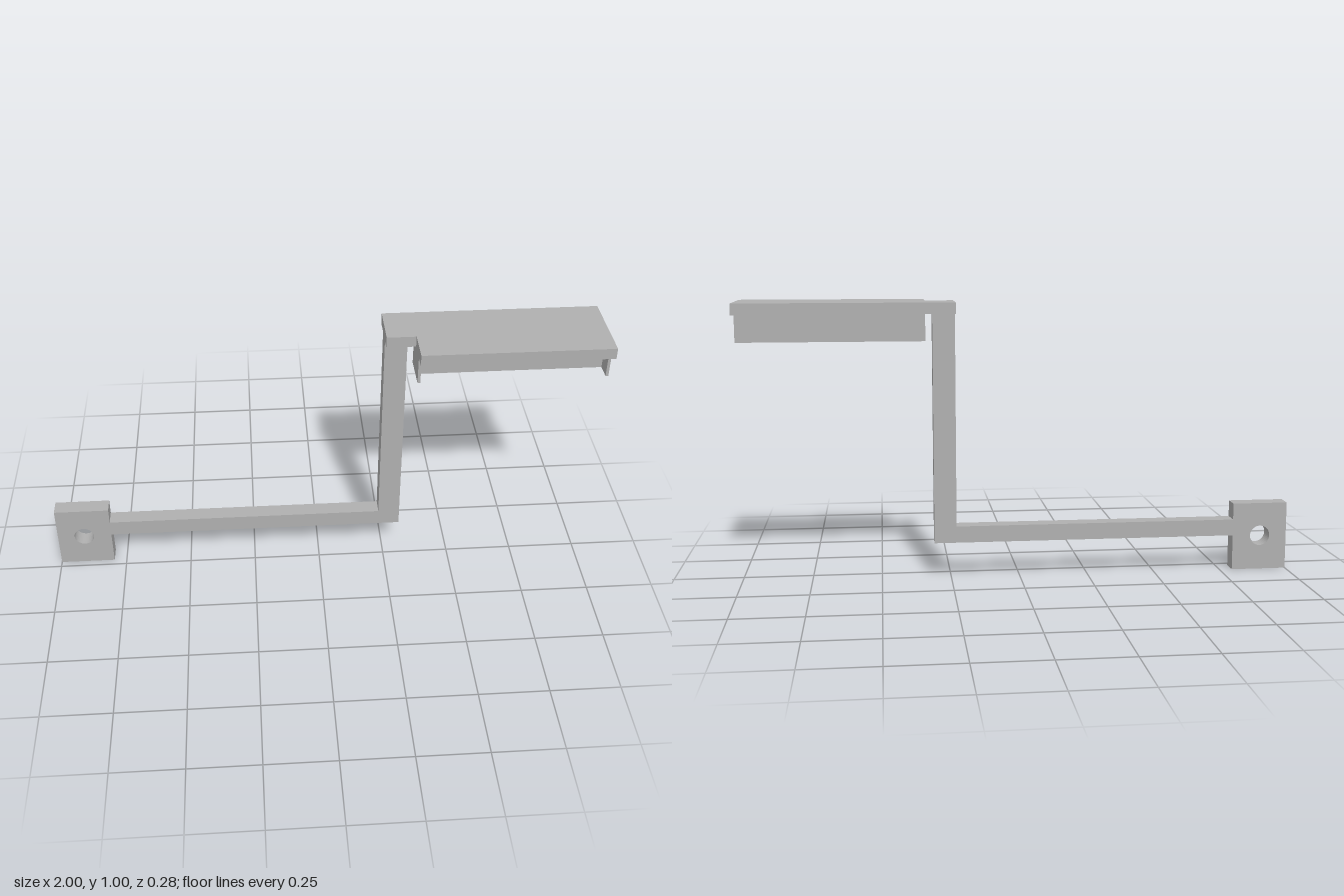
import * as THREE from 'three';

const grey = new THREE.MeshStandardMaterial({ color: 0xb0b0b0 });
grey.name = 'plain grey';

// Box given by its minimum and maximum corners
function box(name, [x0, y0, z0], [x1, y1, z1]) {
  const mesh = new THREE.Mesh(new THREE.BoxGeometry(x1 - x0, y1 - y0, z1 - z0), grey);
  mesh.position.set((x0 + x1) / 2, (y0 + y1) / 2, (z0 + z1) / 2);
  mesh.name = name;
  return mesh;
}

// Flat outline with sharp edges
const outline = (points) => new THREE.Shape(points.map(([x, y]) => new THREE.Vector2(x, y)));

function extrude(name, shape, depth) {
  const geometry = new THREE.ExtrudeGeometry(shape, { depth, bevelEnabled: false, curveSegments: 20 });
  const mesh = new THREE.Mesh(geometry, grey);
  mesh.name = name;
  return mesh;
}

export function createModel() {
  const model = new THREE.Group();
  model.name = 'bracket';
  const armBack = -0.085, armDepth = 0.06;

  // Mounting pad with a round bolt hole
  const padShape = outline([[-1, 0], [-0.797, 0], [-0.797, 0.25], [-1, 0.25]]);
  padShape.holes.push(new THREE.Path().absarc(-0.9, 0.127, 0.037, 0, Math.PI * 2, true));
  const pad = extrude('mountingPad', padShape, armDepth);
  pad.position.z = armBack;

  // Horizontal arm and upright post in one L
  const arm = extrude('armAndPost', outline([
    [-0.797, 0.13], [0.31, 0.13], [0.31, 0.96], [0.23, 0.96], [0.23, 0.19], [-0.797, 0.19],
  ]), armDepth);
  arm.position.z = armBack;

  // Top plate with one notched corner, drawn as x and -z then laid flat
  const plate = extrude('topPlate', outline([
    [0.23, -0.02], [0.333, -0.02], [0.333, -0.142], [1, -0.142], [1, 0.142], [0.23, 0.142],
  ]), 0.04);
  plate.rotation.x = -Math.PI / 2;
  plate.position.y = 0.96;

  // Rail under the plate, closed by a wider thin panel at each end
  const rail = box('rail', [0.343, 0.858, -0.038], [0.99, 0.96, 0.036]);
  model.add(pad, arm, plate, rail);
  for (const [name, x] of [['innerEndPanel', 0.333], ['outerEndPanel', 0.99]]) {
    model.add(box(name, [x, 0.858, -0.038], [x + 0.01, 0.96, 0.092]));
  }
  return model;
}
